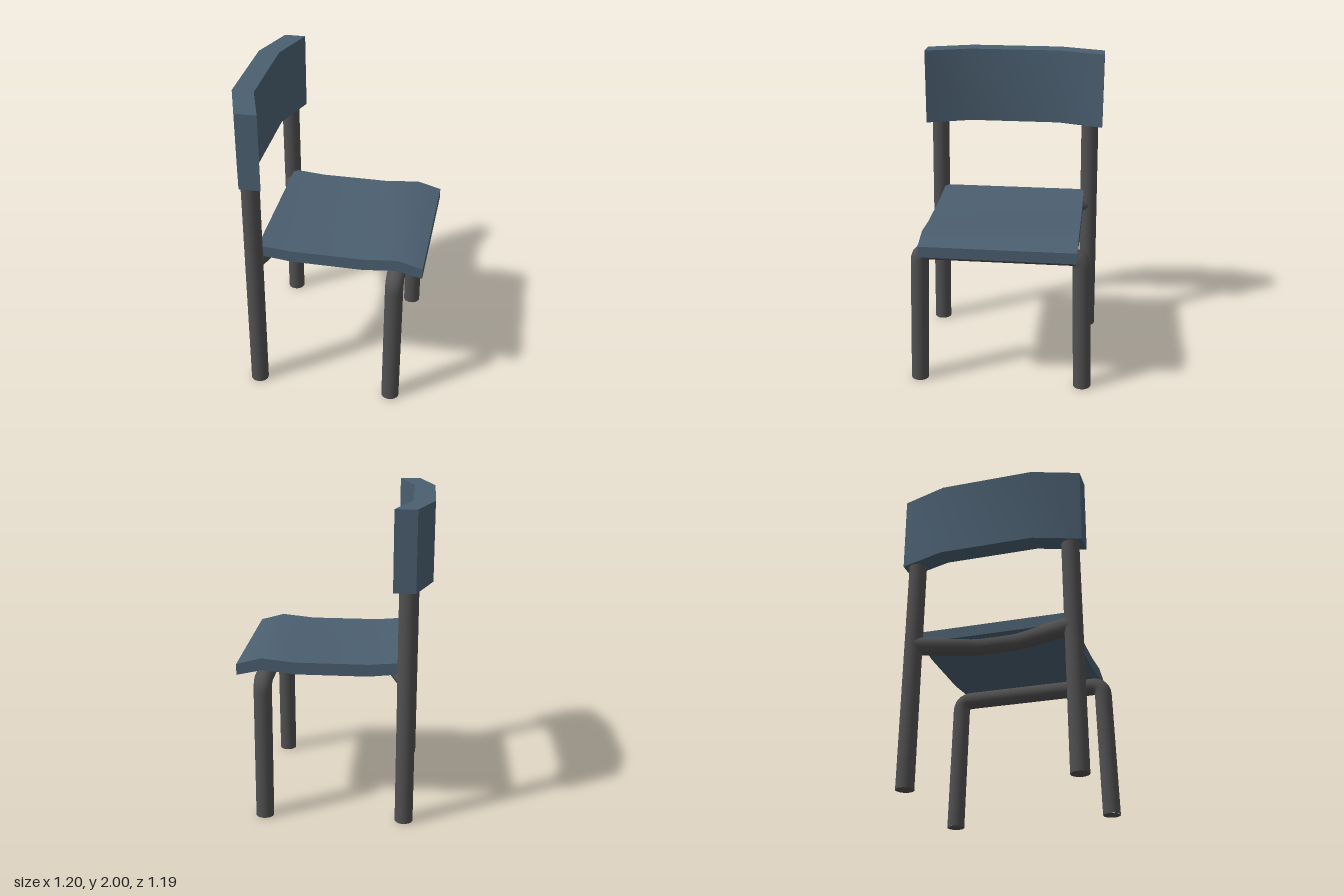
import * as THREE from 'three';
import { toCreasedNormals } from 'three/addons/utils/BufferGeometryUtils.js';

const RADIUS = 0.057;

export function createModel() {
  const chair = new THREE.Group();
  chair.name = 'chair';
  const shellMat = new THREE.MeshStandardMaterial({ color: 0x4b5f70 });
  const frameMat = new THREE.MeshStandardMaterial({ color: 0x505050 });

  const add = (name, geometry, material) => {
    const mesh = new THREE.Mesh(geometry, material);
    mesh.name = name;
    chair.add(mesh);
    return mesh;
  };

  // Extrudes a closed outline, smooth over its gentle bends, sharp at its corners
  const slab = (outline, depth) => {
    const shape = new THREE.Shape(outline.map(([a, b]) => new THREE.Vector2(a, b)));
    return toCreasedNormals(new THREE.ExtrudeGeometry(shape, { depth, bevelEnabled: false }), 0.6);
  };

  // Tube along points, with each inner corner rounded over the given length
  const bentTube = (points, round) => {
    const p = points.map((v) => new THREE.Vector3(...v));
    const path = new THREE.CurvePath();
    let last = p[0];
    for (let i = 1; i < p.length - 1; i++) {
      const toward = (q) => p[i].clone().add(q.clone().sub(p[i]).setLength(round));
      const start = toward(p[i - 1]);
      const end = toward(p[i + 1]);
      path.add(new THREE.LineCurve3(last, start));
      path.add(new THREE.QuadraticBezierCurve3(start, p[i], end));
      last = end;
    }
    path.add(new THREE.LineCurve3(last, p[p.length - 1]));
    return new THREE.TubeGeometry(path, 120, RADIUS, 24);
  };

  // Seat: wavy profile with a dropped front lip, extruded across the width
  const seat = slab([
    [-0.435, 0.968], [-0.22, 0.945], [0.23, 0.945], [0.435, 0.967], [0.6, 0.93],
    [0.6, 1.0], [0.445, 1.043], [0.23, 1.022], [-0.22, 1.022], [-0.435, 1.04],
  ], 0.972);
  seat.translate(0, 0, -0.486);
  add('seat', seat, shellMat);

  // Backrest: plan outline with wings bent forward, extruded downward
  const back = slab([
    [-0.5, -0.597], [-0.365, -0.597], [-0.465, -0.3], [-0.465, 0.3],
    [-0.365, 0.597], [-0.5, 0.597], [-0.6, 0.3], [-0.6, -0.3],
  ], 0.494);
  back.rotateX(Math.PI / 2).translate(0, 2, 0);
  add('backrest', back, shellMat);

  // Front legs and their crossbar in one bent tube
  add('frontLegFrame', bentTube([
    [0.433, 0, 0.532], [0.433, 0.906, 0.507], [0.433, 0.906, -0.507], [0.433, 0, -0.532],
  ], 0.07), frameMat);

  // Rear crossbar bowed forward under the seat
  add('rearCrossbar', bentTube([
    [-0.455, 0.937, 0.515], [-0.337, 0.937, 0.13], [-0.337, 0.937, -0.13], [-0.455, 0.937, -0.515],
  ], 0.06), frameMat);

  for (const side of [1, -1]) {
    const label = side > 0 ? 'Left' : 'Right';

    // Rear leg, leaning slightly inward up to the backrest
    const leg = new THREE.CylinderGeometry(RADIUS, RADIUS, 1.53, 24);
    leg.translate(0, 0.765, 0).rotateX(-side * 0.0125);
    add('rearLeg' + label, leg, frameMat).position.set(-0.455, 0, side * 0.531);

    // Closed foot of the front leg
    const foot = new THREE.CircleGeometry(RADIUS, 24).rotateX(Math.PI / 2);
    add('frontFoot' + label, foot, frameMat).position.set(0.433, 0, side * 0.532);
  }

  return chair;
}
